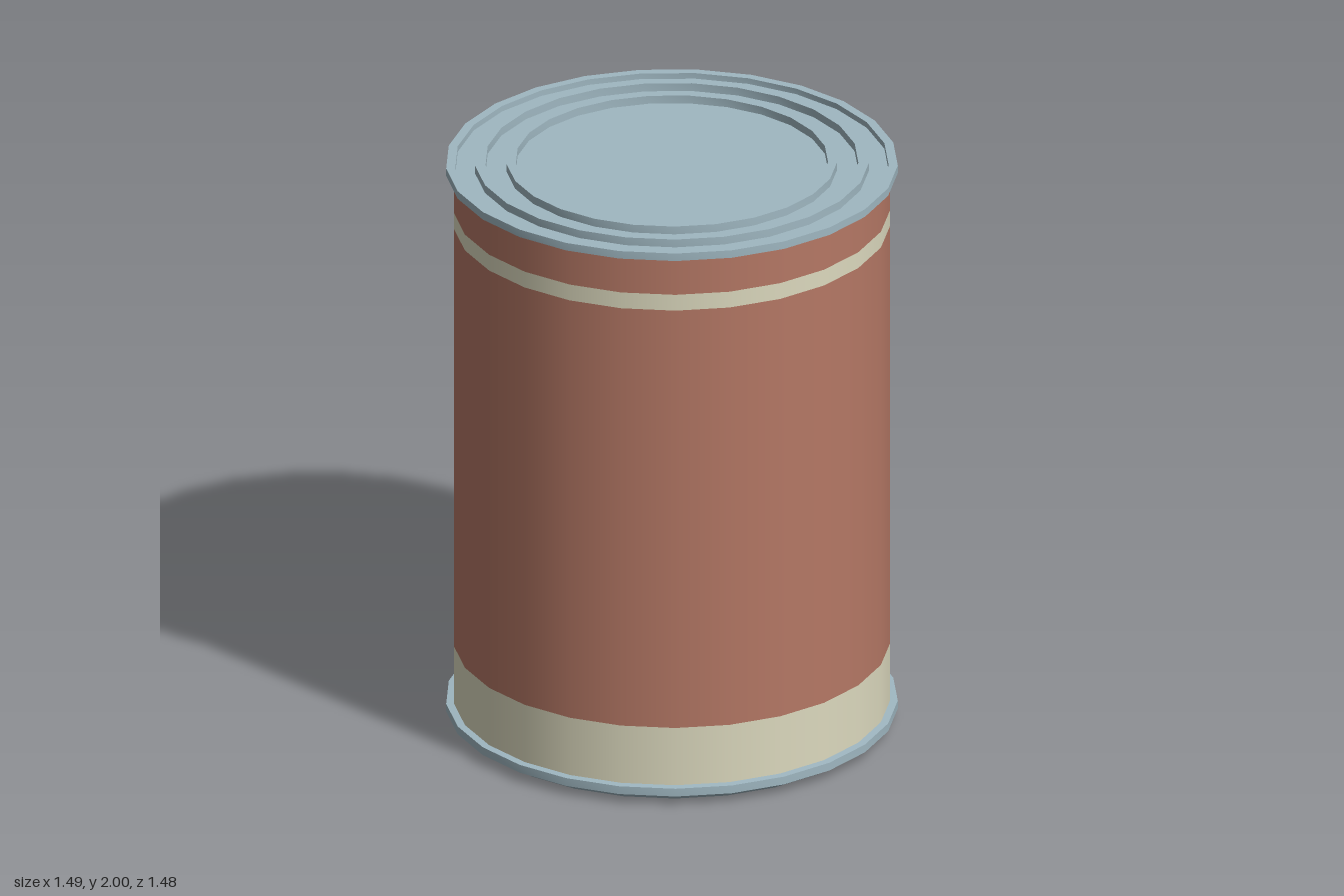
import * as THREE from 'three';
import { toCreasedNormals } from 'three/addons/utils/BufferGeometryUtils.js';

const SIDES = 25, RADIUS = 0.72, STEP = (Math.PI * 2) / SIDES;

const material = (name, color) => {
  const m = new THREE.MeshStandardMaterial({ color });
  m.name = name;
  return m;
};

// Metal ends are turned from a profile, with crisp steps and smooth sides.
function turned(points) {
  const profile = points.map(([r, y]) => new THREE.Vector2(r, y));
  return toCreasedNormals(new THREE.LatheGeometry(profile, SIDES, Math.PI), 0.5);
}

function wall(y0, y1) {
  const g = new THREE.CylinderGeometry(RADIUS, RADIUS, y1 - y0, SIDES, 1, true, Math.PI);
  return g.translate(0, (y0 + y1) / 2, 0);
}

// Label shapes are drawn flat: u runs along -z, v is the height.
function roundedBar(u0, u1, v0, v1, r) {
  const s = new THREE.Shape();
  s.moveTo(u0 + r, v0);
  s.absarc(u1 - r, v0 + r, r, -Math.PI / 2, 0);
  s.absarc(u1 - r, v1 - r, r, 0, Math.PI / 2);
  s.absarc(u0 + r, v1 - r, r, Math.PI / 2, Math.PI);
  s.absarc(u0 + r, v0 + r, r, Math.PI, Math.PI * 1.5);
  return s;
}

// Closed smooth outline through points given in hundredths.
function blob(points, tension) {
  const curve = new THREE.CatmullRomCurve3(
    points.map(([u, v]) => new THREE.Vector3(u / 100, v / 100, 0)), true, 'catmullrom', tension);
  return new THREE.Shape(curve.getPoints(points.length * 4).slice(0, -1).map(p => new THREE.Vector2(p.x, p.y)));
}

// Keep the part of a convex polygon on one side of the line u = limit.
function clip(poly, limit, sign) {
  const out = [];
  poly.forEach((a, i) => {
    const b = poly[(i + 1) % poly.length];
    const da = (a.x - limit) * sign, db = (b.x - limit) * sign;
    if (da >= 0) out.push(a);
    if (da * db < 0) out.push(a.clone().lerp(b, da / (da - db)));
  });
  return out;
}

// Wrap a flat shape around the +x side, cutting it at the wall's facet edges.
function wrapped(shape, layer) {
  const flat = new THREE.ShapeGeometry(shape, 6);
  const pos = flat.attributes.position, index = flat.index.array;
  const R = RADIUS + 0.002 * layer, vertices = [], normals = [];
  for (let k = 1; k < 12; k++) {
    const a1 = Math.PI / 2 - k * STEP, a0 = a1 - STEP;
    const u0 = R * Math.sin(a0), u1 = R * Math.sin(a1);
    const x0 = R * Math.cos(a0), x1 = R * Math.cos(a1);
    for (let t = 0; t < index.length; t += 3) {
      const tri = [0, 1, 2].map(j => new THREE.Vector2(pos.getX(index[t + j]), pos.getY(index[t + j])));
      const poly = clip(clip(tri, u0, 1), u1, -1);
      for (let j = 1; j < poly.length - 1; j++) {
        for (const p of [poly[0], poly[j], poly[j + 1]]) {
          const x = x0 + (x1 - x0) * (p.x - u0) / (u1 - u0);
          const len = Math.hypot(x, p.x);
          vertices.push(x, p.y, -p.x);
          normals.push(x / len, 0, -p.x / len);
        }
      }
    }
  }
  const g = new THREE.BufferGeometry();
  g.setAttribute('position', new THREE.Float32BufferAttribute(vertices, 3));
  g.setAttribute('normal', new THREE.Float32BufferAttribute(normals, 3));
  return g;
}

export function createModel() {
  const metal = material('metal', 0x9fb7c1);
  const red = material('red', 0xb57865);
  const cream = material('cream', 0xdcd9be);
  const green = material('label green', 0xa6c59a);
  const leafGreen = material('leaf green', 0x8aa78a);
  const yellow = material('yellow', 0xdbdba0);

  const model = new THREE.Group();
  model.name = 'tinCan';
  const add = (name, geometry, mat) => {
    const mesh = new THREE.Mesh(geometry, mat);
    mesh.name = name;
    model.add(mesh);
  };

  // Metal ends
  add('base', turned([[0, 0], [0.685, 0], [0.72, 0.03], [0.745, 0.034], [0.745, 0.062], [0.715, 0.064]]), metal);
  add('lid', turned([
    [0.715, 1.965], [0.745, 1.965], [0.745, 1.992], [0.715, 1.992], [0.715, 1.972],
    [0.65, 1.972], [0.65, 2], [0.615, 2], [0.615, 1.972],
    [0.545, 1.972], [0.545, 2], [0.515, 2], [0.515, 1.972], [0, 1.972],
  ]), metal);

  // Painted wall bands
  add('lowerBand', wall(0.06, 0.27), cream);
  add('wall', wall(0.27, 1.775), red);
  add('upperStripe', wall(1.775, 1.832), cream);
  add('upperWall', wall(1.832, 1.97), red);

  // Label with fruit, leaf, banner and bars
  add('label', wrapped(roundedBar(-0.467, 0.525, 0.462, 1.645, 0.02), 1), green);
  add('fruit', wrapped(blob([
    [-39, 110], [-37, 124], [-30, 134], [-22, 139.5], [-14, 141], [-6, 139.5], [2, 138], [12, 138.5],
    [22, 138.5], [31, 137], [39, 132], [43.5, 121], [44.5, 107], [42, 94], [36, 84], [29, 78],
    [15, 73.5], [2, 72], [-13, 74.5], [-25, 79.5], [-34, 89], [-38.5, 100],
  ], 0.5), 2), red);
  add('leaf', wrapped(blob([
    [-13, 133], [-9.5, 137], [-4, 138.7], [2, 139.5], [4.5, 144], [9.5, 146], [15, 147], [14.5, 143.5],
    [11.5, 138.7], [19, 138], [22.3, 136], [19, 132], [14, 130.5], [13, 128], [13.8, 123.5], [15.5, 118.5],
    [10, 118.5], [3.2, 122.5], [0.5, 126], [2, 130.5], [0, 133], [-6, 132.5],
  ], 0.4), 3), leafGreen);
  add('banner', wrapped(blob([
    [-43.5, 84], [-42.5, 88], [-39.5, 92.5], [-32, 97.5], [-16.5, 101.5], [2, 103], [20.5, 101], [36.5, 96.5],
    [43.5, 93.5], [48.8, 84.5], [43, 75], [38, 77], [32, 80], [15.5, 84], [2, 85.5], [-16.5, 84],
    [-26, 80.5], [-32, 77], [-36.5, 74.5], [-39.5, 76],
  ], 0.35), 4), yellow);
  add('upperBar', wrapped(roundedBar(-0.287, 0.33, 0.58, 0.66, 0.03), 2), yellow);
  add('lowerBar', wrapped(roundedBar(-0.17, 0.218, 0.505, 0.553, 0.02), 2), yellow);

  return model;
}
